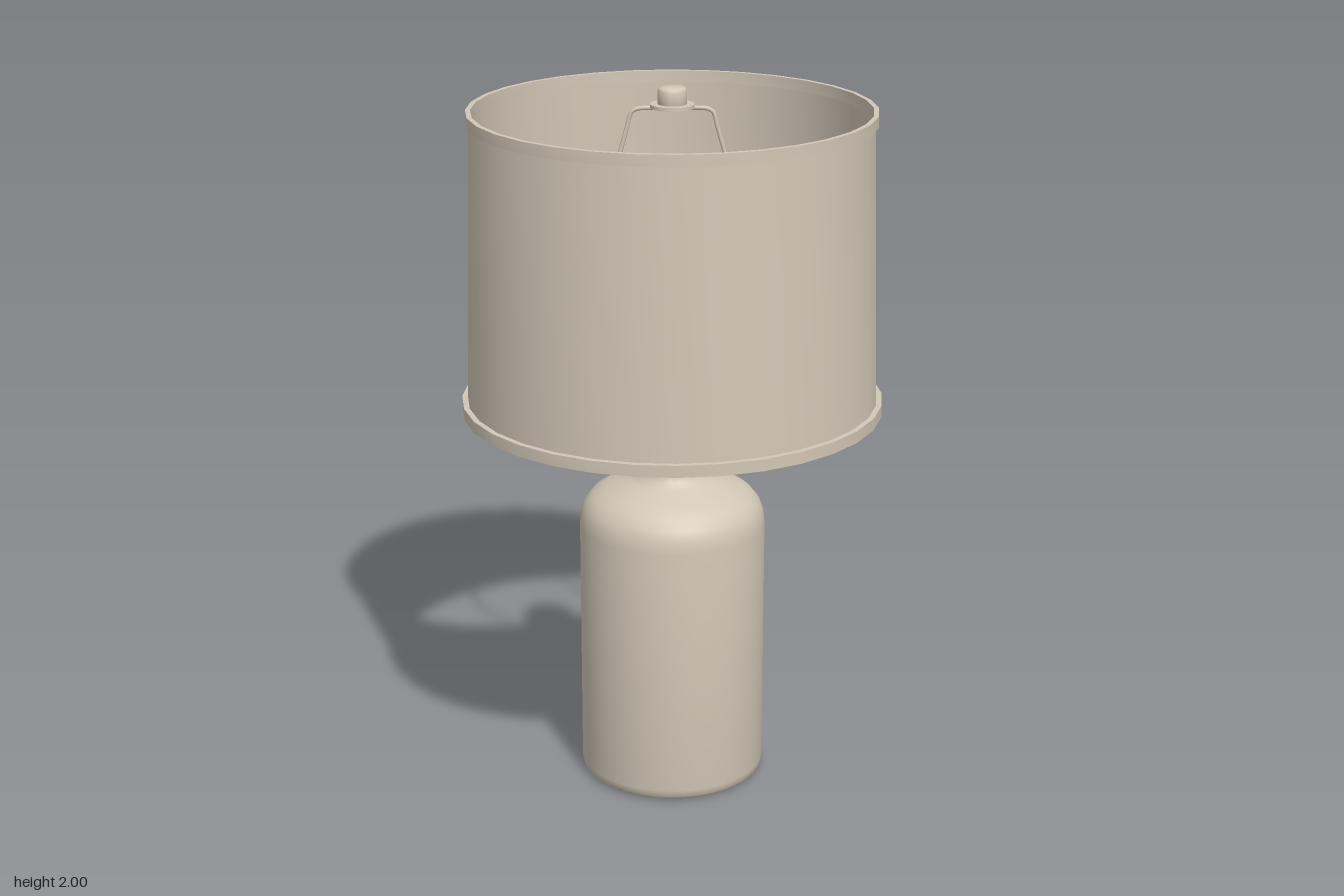
import * as THREE from 'three';
import { toCreasedNormals } from 'three/addons/utils/BufferGeometryUtils.js';

const linen = new THREE.MeshStandardMaterial({ color: 0xd2c7b7 });
linen.name = 'warm beige';
linen.side = THREE.DoubleSide;
const black = new THREE.MeshStandardMaterial({ color: 0x0c0c0c });
black.name = 'black';

export function createModel() {
  const lamp = new THREE.Group();
  lamp.name = 'tableLamp';

  const add = (name, geometry, material) => {
    const mesh = new THREE.Mesh(geometry, material);
    mesh.name = name;
    lamp.add(mesh);
    return mesh;
  };
  // Turned part from [radius, height] pairs, listed bottom to top
  const turned = (name, profile, material, segments = 48, crease = 0.7) => {
    const points = profile.map(([r, y]) => new THREE.Vector2(r, y));
    return add(name, toCreasedNormals(new THREE.LatheGeometry(points, segments), crease), material);
  };
  // Flat band with a rectangular section
  const band = (name, inner, outer, y0, y1) => turned(name,
    [[inner, y0], [outer, y0], [outer, y1], [inner, y1], [inner, y0]], linen, 32);

  // Bottle-shaped body with a rounded foot, shoulder and short neck
  turned('base', [
    [0, 0], [0.235, 0], [0.25, 0.005], [0.259, 0.016], [0.262, 0.035], [0.262, 0.755],
    [0.258, 0.79], [0.247, 0.818], [0.226, 0.843], [0.195, 0.862], [0.155, 0.879],
    [0.12, 0.892], [0.1, 0.905], [0.092, 0.925], [0.09, 0.95], [0.09, 1.0],
    [0.086, 1.014], [0.075, 1.024], [0.036, 1.026],
  ], linen, 64);
  turned('stem', [[0.036, 1.02], [0.036, 1.2], [0, 1.2]], linen, 32);

  // Black bulb socket with stepped collar
  turned('socket', [
    [0, 1.17], [0.052, 1.17], [0.057, 1.18], [0.057, 1.21], [0.075, 1.225], [0.098, 1.25],
    [0.1, 1.26], [0.1, 1.29], [0.088, 1.3], [0.072, 1.31], [0.072, 1.4],
    [0.066, 1.41], [0.055, 1.41], [0.055, 1.33], [0, 1.33],
  ], black, 32);
  for (let i = 0; i < 3; i++) {
    const ridge = add('socketRidge', new THREE.TorusGeometry(0.073, 0.006, 8, 32), black);
    ridge.rotation.x = Math.PI / 2;
    ridge.position.y = 1.335 + i * 0.025;
  }

  // Turn switch on the side of the socket
  const shaft = add('switchShaft', new THREE.CylinderGeometry(0.009, 0.009, 0.07, 12), black);
  shaft.rotation.z = Math.PI / 2;
  shaft.position.set(0.095, 1.315, 0);
  const knob = add('switchKnob', new THREE.CylinderGeometry(0.022, 0.022, 0.02, 12), black);
  knob.rotation.z = Math.PI / 2;
  knob.position.set(0.128, 1.315, 0);

  // Wire harp: two mirrored arms that rise from the socket to the finial
  const arm = [[0.06, 1.27], [0.11, 1.285], [0.155, 1.33], [0.188, 1.41], [0.198, 1.5],
    [0.188, 1.62], [0.155, 1.77], [0.122, 1.89], [0.11, 1.932], [0.095, 1.941], [0, 1.941]];
  for (const side of [1, -1]) {
    const path = new THREE.CatmullRomCurve3(arm.map(([x, y]) => new THREE.Vector3(side * x, y, 0)), false, 'centripetal');
    add('harpArm', new THREE.TubeGeometry(path, 60, 0.006, 8), linen);
  }

  // Finial and its washer
  turned('finialWasher', [[0, 1.944], [0.06, 1.944], [0.06, 1.954], [0, 1.954]], linen, 32);
  turned('finial', [[0.038, 1.95], [0.04, 1.957], [0.04, 1.988], [0.037, 1.996], [0.03, 2], [0, 2]], linen, 32);

  // Open, slightly tapered drum shade with trim at both rims
  turned('shade', [
    [0.558, 1.105], [0.57, 1.105], [0.548, 1.935], [0.542, 1.935], [0.558, 1.105],
  ], linen, 32);
  band('shadeTopTrim', 0.542, 0.556, 1.908, 1.94);
  band('shadeBottomTrim', 0.557, 0.585, 1.1, 1.133);

  return lamp;
}
